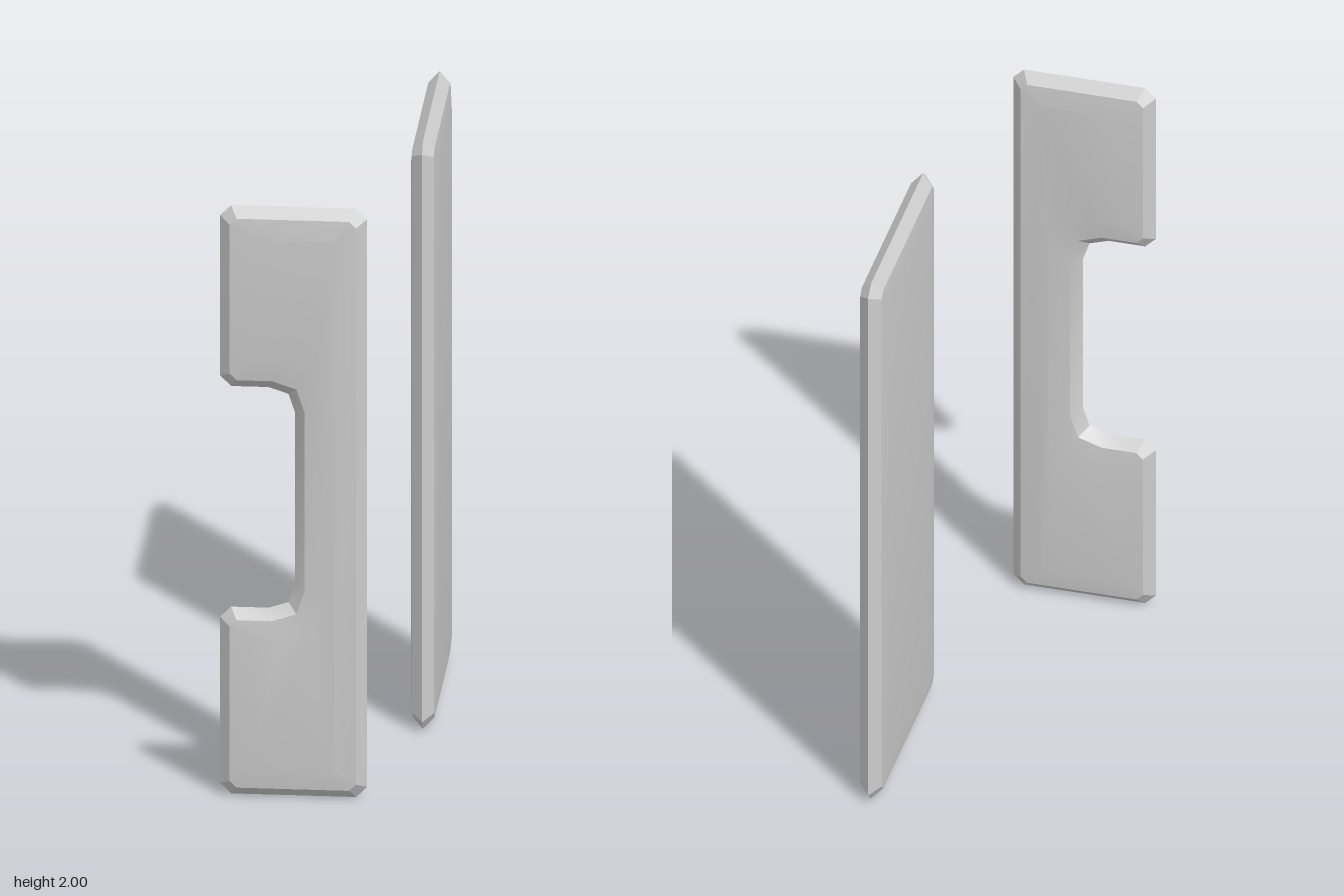
import * as THREE from 'three';
import { toCreasedNormals } from 'three/addons/utils/BufferGeometryUtils.js';

// Cross-section of a panel edge from front to back: [inset from outline, z]
const EDGE = [[0.1, 0.044], [0.033, 0.035], [0, 0], [0.033, -0.035], [0.1, -0.044]];
const CONVEX = 0.035, CONCAVE = 0.085;

// Inset a right-angled, counter-clockwise outline by d and ease its corners
function ring(corners, d) {
  const p = corners.map(([x, y]) => new THREE.Vector2(x, y));
  const n = p.length;
  const dir = p.map((a, i) => p[(i + 1) % n].clone().sub(a).normalize());
  const out = [];
  p.forEach((corner, i) => {
    const a = dir[(i + n - 1) % n], b = dir[i];
    const convex = a.cross(b) > 0;
    const c = convex ? Math.max(CONVEX - d * 0.4, 0.004) : CONCAVE + d * 0.586;
    const k = new THREE.Vector2(corner.x - d * (a.y + b.y), corner.y + d * (a.x + b.x));
    const start = k.clone().addScaledVector(a, -c);
    const end = k.clone().addScaledVector(b, c);
    out.push(start);
    if (!convex) out.push(start.clone().add(end).multiplyScalar(0.25).addScaledVector(k, 0.5));
    out.push(end);
  });
  return out;
}

// Loft the edge rings together and close both faces
function panel(name, corners) {
  const rings = EDGE.map(([d]) => ring(corners, d));
  const n = rings[0].length, pos = [], idx = [];
  rings.forEach((r, k) => r.forEach((v) => pos.push(v.x, v.y, EDGE[k][1])));
  for (let k = 0; k < rings.length - 1; k++) {
    for (let i = 0; i < n; i++) {
      const j = (i + 1) % n, a = k * n, b = a + n;
      idx.push(a + i, b + i, b + j, a + i, b + j, a + j);
    }
  }
  const last = (rings.length - 1) * n;
  for (const [a, b, c] of THREE.ShapeUtils.triangulateShape(rings[0], [])) {
    idx.push(a, b, c, last + a, last + c, last + b);
  }
  const geo = new THREE.BufferGeometry();
  geo.setAttribute('position', new THREE.Float32BufferAttribute(pos, 3));
  geo.setIndex(idx);
  const mesh = new THREE.Mesh(
    toCreasedNormals(geo, 0.5),
    new THREE.MeshStandardMaterial({ color: 0xcccccc })
  );
  mesh.name = name;
  return mesh;
}

export function createModel() {
  const group = new THREE.Group();
  group.name = 'panels';

  // Front panel with a notch cut into one long side
  const notched = panel('notchedPanel', [
    [-0.32, 0], [0.15, 0], [0.15, 2], [-0.32, 2],
    [-0.32, 1.385], [-0.08, 1.385], [-0.08, 0.635], [-0.32, 0.635],
  ]);
  notched.position.z = 0.636;

  // Plain rectangular panel standing at a right angle to it
  const plain = panel('plainPanel', [
    [-0.355, 0], [0.355, 0], [0.355, 2], [-0.355, 2],
  ]);
  plain.rotation.y = Math.PI / 2;
  plain.position.set(0.275, 0, -0.325);

  group.add(notched, plain);
  return group;
}
